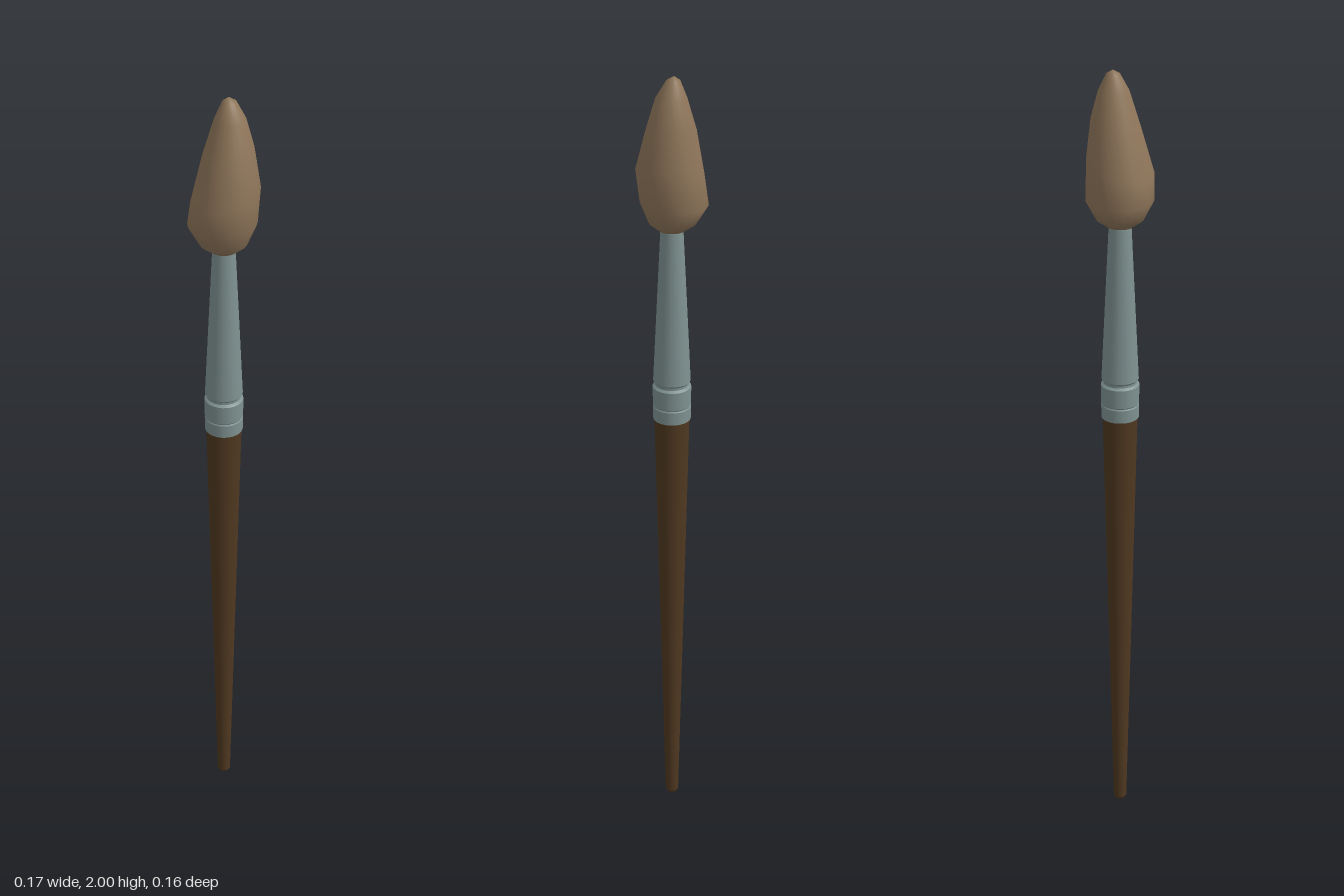
import * as THREE from 'three';
import { mergeVertices } from 'three/addons/utils/BufferGeometryUtils.js';

const SIDES = 24;

function material(name, color) {
  const m = new THREE.MeshStandardMaterial({ color });
  m.name = name;
  return m;
}

// Turned part from [radius, height] pairs; every corner is doubled to stay crisp.
function turned(name, profile, mat) {
  const points = profile.flatMap(([r, y]) => [new THREE.Vector2(r, y), new THREE.Vector2(r, y)]);
  const mesh = new THREE.Mesh(new THREE.LatheGeometry(points.slice(1, -1), SIDES), mat);
  mesh.name = name;
  return mesh;
}

// Slightly lopsided tuft: each ring has a radius, height, centre x, centre z and a tilt along x and z.
function tuft(mat) {
  const rings = [
    [0, 1.632, 0, 0, 0, 0],
    [0.032, 1.634, 0, 0, 0, 0],
    [0.056, 1.652, -0.002, 0, 0, 0],
    [0.08, 1.7, -0.005, 0, 0.06, 0],
    [0.079, 1.775, 0.005, 0, 0.1, -0.25],
    [0.058, 1.875, 0.004, -0.01, 0, -0.2],
    [0.036, 1.95, 0.004, -0.015, 0, 0],
    [0.016, 1.99, 0, -0.016, 0, 0],
    [0, 2, -0.002, -0.016, 0, 0],
  ];
  let geo = new THREE.LatheGeometry(rings.map(([r, y]) => new THREE.Vector2(r, y)), SIDES);
  const p = geo.attributes.position;
  for (let i = 0; i < p.count; i++) {
    const [, y, cx, cz, tiltX, tiltZ] = rings[i % rings.length];
    const x = p.getX(i), z = p.getZ(i);
    p.setXYZ(i, x + cx, y + x * tiltX + z * tiltZ, z + cz);
  }
  // Weld the seam so the shading is smooth all round
  geo.deleteAttribute('normal');
  geo.deleteAttribute('uv');
  geo = mergeVertices(geo, 1e-5);
  geo.computeVertexNormals();
  const mesh = new THREE.Mesh(geo, mat);
  mesh.name = 'bristles';
  return mesh;
}

export function createModel() {
  const wood = material('dark wood', 0x4f3820);
  const metal = material('grey metal', 0x7f9291);
  const hair = material('brown hair', 0x8f765a);

  const brush = new THREE.Group();
  brush.name = 'paintbrush';

  // Tapered handle with a softened butt end
  brush.add(turned('handle', [
    [0, 0], [0.013, 0], [0.017, 0.008], [0.03, 0.58], [0.043, 1.15], [0, 1.15],
  ], wood));

  // Metal sleeve with two pressed grooves, narrowing towards the hair
  brush.add(turned('ferrule', [
    [0.04, 1.146], [0.046, 1.146], [0.0465, 1.179], [0.0445, 1.182], [0.0465, 1.185],
    [0.047, 1.232], [0.041, 1.237], [0.041, 1.243], [0.0455, 1.248],
    [0.027, 1.63], [0.025, 1.645], [0, 1.645],
  ], metal));

  brush.add(tuft(hair));
  return brush;
}
